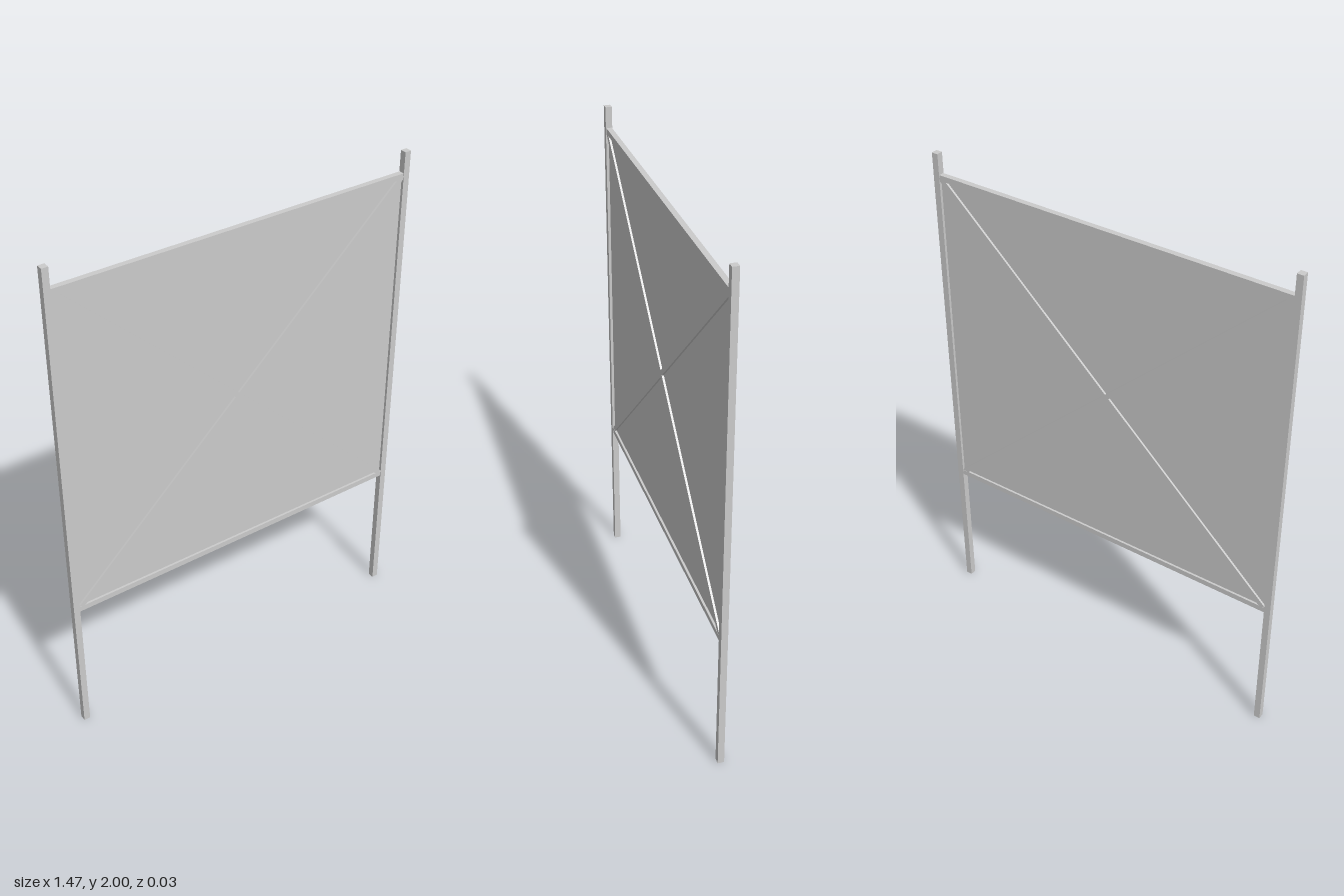
import * as THREE from 'three';

const material = new THREE.MeshStandardMaterial({ color: 0xcccccc, flatShading: true });

// Adds a named box centred at (x, y, 0), turned about z by angle
function bar(parent, name, [w, h, d], x, y, angle = 0) {
  const mesh = new THREE.Mesh(new THREE.BoxGeometry(w, h, d), material);
  mesh.name = name;
  mesh.position.set(x, y, 0);
  mesh.rotation.z = angle;
  parent.add(mesh);
  return mesh;
}

export function createModel() {
  const model = new THREE.Group();
  model.name = 'framedPanel';

  const postX = 0.724, postSize = 0.025;
  const railDepth = 0.021, railHeight = 0.022;
  const topY = 1.908, bottomY = 0.573;
  const innerWidth = 2 * postX - postSize;
  const span = topY - bottomY, midY = (topY + bottomY) / 2;

  // Square posts, standing on the ground
  bar(model, 'leftPost', [postSize, 2, postSize], postX, 1);
  bar(model, 'rightPost', [postSize, 2, postSize], -postX, 1);

  // Horizontal rails between the posts
  bar(model, 'topRail', [innerWidth, railHeight, railDepth], 0, topY);
  bar(model, 'bottomRail', [innerWidth, railHeight, railDepth], 0, bottomY);

  // Thin sheet filling the frame
  bar(model, 'panel', [innerWidth, span, 0.004], 0, midY);

  // Diagonal braces crossing through the sheet, corner to corner
  const angle = Math.atan2(span, innerWidth);
  const length = Math.hypot(span, innerWidth) - 0.005;
  bar(model, 'risingBrace', [length, 0.02, railDepth - 0.001], 0, midY, angle);
  bar(model, 'fallingBrace', [length, 0.02, railDepth - 0.001], 0, midY, -angle);

  return model;
}
